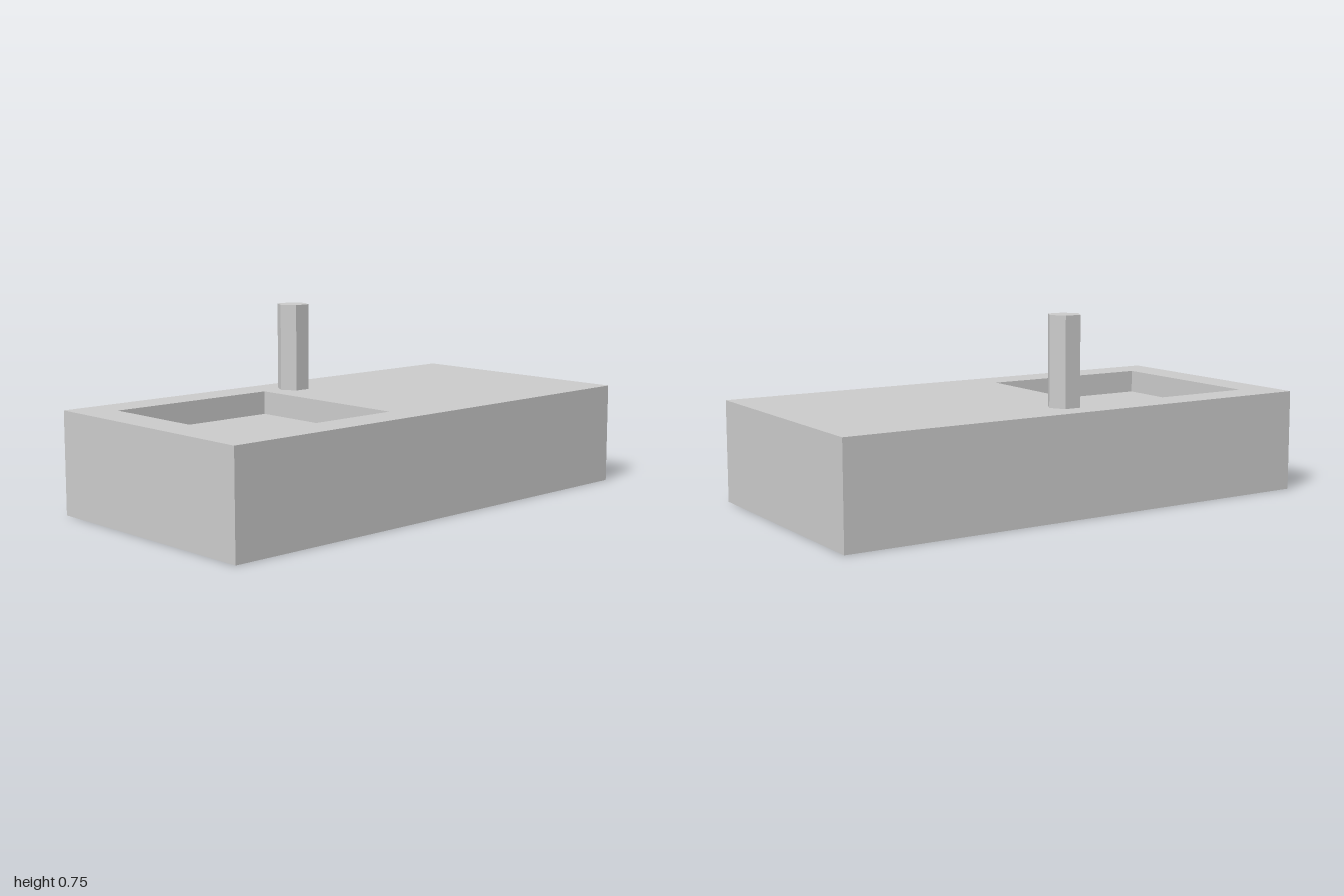
import * as THREE from 'three';

const material = new THREE.MeshStandardMaterial({ color: 0xcccccc, flatShading: true });

// Box without its top face; inward turns the faces to the inside
function openBox(w, h, d, inward = false) {
  const geometry = new THREE.BoxGeometry(w, h, d);
  const index = Array.from(geometry.index.array);
  index.splice(12, 6);
  if (inward) index.reverse();
  geometry.setIndex(index);
  geometry.clearGroups();
  geometry.computeVertexNormals();
  return geometry;
}

// Rectangle outline, corner by corner
function rectangle(path, cx, w, d) {
  path.moveTo(cx - w / 2, -d / 2);
  path.lineTo(cx + w / 2, -d / 2);
  path.lineTo(cx + w / 2, d / 2);
  path.lineTo(cx - w / 2, d / 2);
  path.closePath();
  return path;
}

export function createModel() {
  const model = new THREE.Group();
  const add = (name, geometry, x, y, z) => {
    const mesh = new THREE.Mesh(geometry, material);
    mesh.name = name;
    mesh.position.set(x, y, z);
    model.add(mesh);
  };

  const width = 2, height = 0.4, depth = 1;
  const basinX = -0.5, basinSize = 0.714, basinDepth = 0.092;

  // Solid counter block
  add('counterBody', openBox(width, height, depth), 0, height / 2, 0);

  // Counter top with the basin opening
  const top = rectangle(new THREE.Shape(), 0, width, depth);
  top.holes.push(rectangle(new THREE.Path(), basinX, basinSize, basinSize));
  add('counterTop', new THREE.ShapeGeometry(top).rotateX(-Math.PI / 2), 0, height, 0);

  // Recessed square basin: inner walls and floor
  add('basin', openBox(basinSize, basinDepth, basinSize, true), basinX, height - basinDepth / 2, 0);

  // Hexagonal post, flat side to the front
  const postHeight = 0.347;
  const post = new THREE.CylinderGeometry(0.066, 0.066, postHeight, 6).rotateY(Math.PI / 6);
  add('post', post, 0, height + postHeight / 2, -0.343);

  return model;
}
